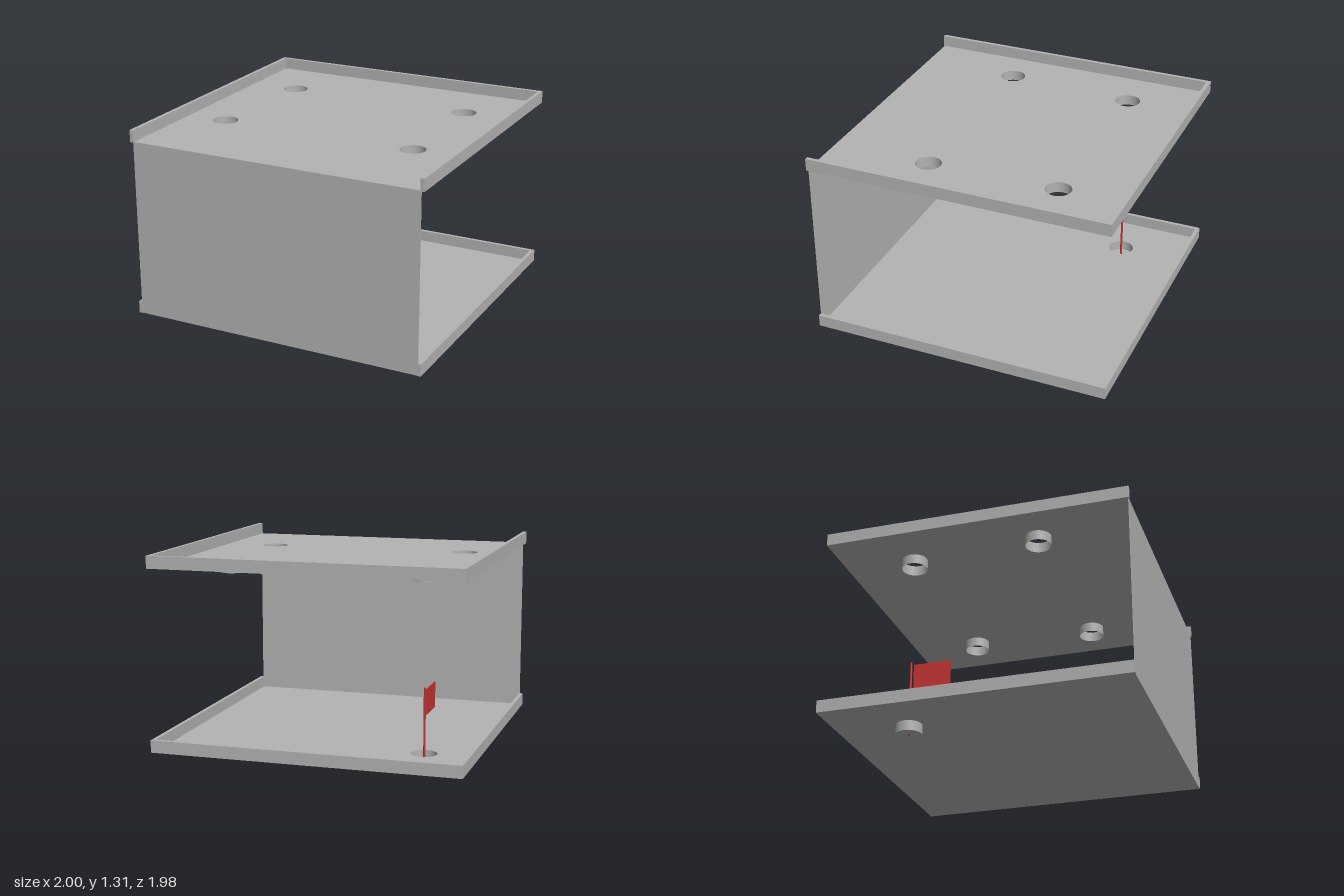
import * as THREE from 'three';

const SKIN = 0.004, RIM = 0.025, RIM_H = 0.08, CUP_R = 0.083, CUP_H = 0.067;

const grey = new THREE.MeshStandardMaterial({ color: 0xb3b3b3, side: THREE.DoubleSide });
grey.name = 'grey';
const red = new THREE.MeshStandardMaterial({ color: 0xc83232, side: THREE.DoubleSide });
red.name = 'red';

function add(parent, name, geometry, material, x = 0, y = 0, z = 0) {
  const mesh = new THREE.Mesh(geometry, material);
  mesh.name = name;
  mesh.position.set(x, y, z);
  parent.add(mesh);
  return mesh;
}

// A thin tray floor with round holes, a rim on three sides and a cup under each hole
function createTray(name, y, holes, closedCups) {
  const tray = new THREE.Group();
  tray.name = name;
  tray.position.y = y;

  const shape = new THREE.Shape([
    new THREE.Vector2(-0.99, -0.98), new THREE.Vector2(0.99, -0.98),
    new THREE.Vector2(0.99, 0.985), new THREE.Vector2(-0.99, 0.985),
  ]);
  for (const [x, z] of holes) {
    shape.holes.push(new THREE.Path().absarc(x, z, CUP_R, 0, Math.PI * 2, true));
  }
  const floor = new THREE.ExtrudeGeometry(shape, { depth: SKIN, bevelEnabled: false, curveSegments: 32 });
  floor.rotateX(Math.PI / 2);
  add(tray, 'floor', floor, grey, 0, SKIN, 0);

  // Rims on the sides and the back
  for (const [side, s] of [['left', 1], ['right', -1]]) {
    add(tray, side + 'Rim', new THREE.BoxGeometry(RIM, RIM_H, 1.98), grey, s * (1 - RIM / 2), RIM_H / 2, 0);
  }
  add(tray, 'backRim', new THREE.BoxGeometry(2 - 2 * RIM, RIM_H, RIM), grey, 0, RIM_H / 2, -0.99 + RIM / 2);

  // Cups
  for (const [x, z] of holes) {
    add(tray, 'cup', new THREE.CylinderGeometry(CUP_R, CUP_R, CUP_H, 32, 1, true), grey,
      x, SKIN - CUP_H / 2 - 0.002, z);
    if (closedCups) {
      const base = new THREE.CylinderGeometry(CUP_R, CUP_R, SKIN, 32);
      add(tray, 'cupBase', base, grey, x, -CUP_H + SKIN, z);
    }
  }
  return tray;
}

export function createModel() {
  const model = new THREE.Group();
  model.name = 'twoLevelGolfCourse';

  model.add(createTray('lowerTray', 0.07, [[-0.65, -0.52]], true));
  model.add(createTray('upperTray', 1.235,
    [[-0.65, -0.52], [0.62, -0.52], [-0.705, 0.335], [0.635, 0.335]], false));

  // Front wall joining the two levels
  add(model, 'frontWall', new THREE.BoxGeometry(1.96, 1.168, SKIN), grey, 0, 0.654, 0.984);

  // Flag standing in the lower cup
  const flag = new THREE.Group();
  flag.name = 'flag';
  flag.position.set(-0.65, 0, -0.52);
  add(flag, 'flagPole', new THREE.CylinderGeometry(0.007, 0.007, 0.49, 16), red, 0, 0.25, 0);
  add(flag, 'flagCloth', new THREE.BoxGeometry(0.006, 0.165, 0.245), red, 0, 0.396, 0.141);
  model.add(flag);

  return model;
}
